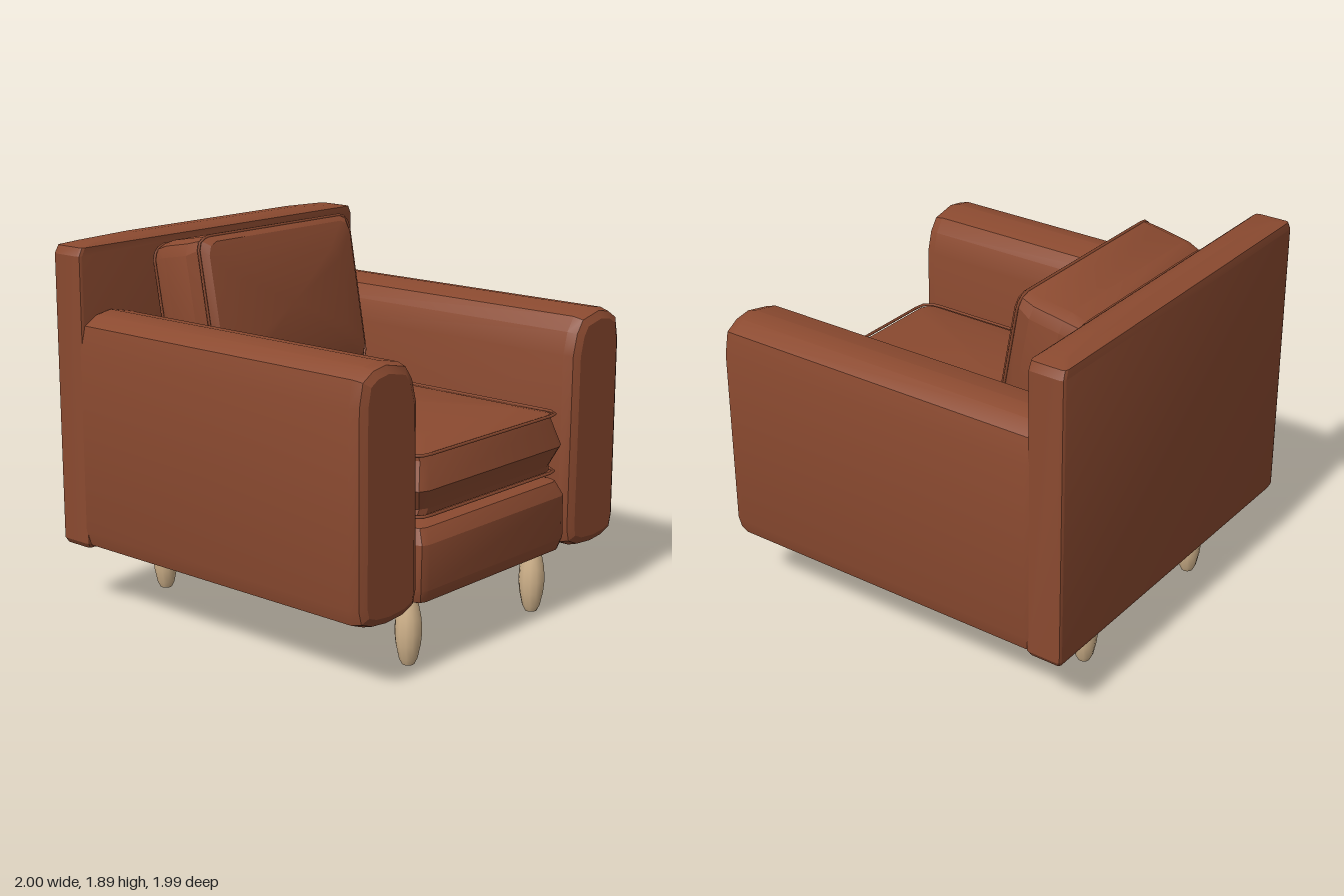
import * as THREE from 'three';
import { toCreasedNormals } from 'three/addons/utils/BufferGeometryUtils.js';

// Points of a rounded rectangle, two facets to each corner
function ring(x0, x1, z0, z1, r) {
  const pts = [];
  for (let q = 0; q < 4; q++) {
    for (let k = 0; k <= 2; k++) {
      const a = (q + k / 2) * Math.PI / 2;
      const cx = q === 0 || q === 3 ? x1 - r : x0 + r;
      const cz = q < 2 ? z1 - r : z0 + r;
      pts.push([cx + Math.cos(a) * r, cz + Math.sin(a) * r]);
    }
  }
  return pts;
}

// Upholstered block from levels [y, halfWidth, zBack, zFront, cornerRadius], bottom to top
function loft(levels) {
  const pos = [], index = [];
  const n = 12, last = levels.length - 1;
  levels.forEach(([y, hx, z0, z1, r]) => {
    ring(-hx, hx, z0, z1, r).forEach(([x, z]) => pos.push(x, y, z));
  });
  const low = n * levels.length, high = low + 1;
  for (const l of [levels[0], levels[last]]) pos.push(0, l[0], (l[2] + l[3]) / 2);
  for (let i = 0; i < n; i++) {
    const j = (i + 1) % n;
    for (let s = 0; s < last; s++) {
      const a = s * n + i, b = s * n + j;
      index.push(a, a + n, b, b, a + n, b + n);
    }
    index.push(low, i, j, high, last * n + j, last * n + i);
  }
  const g = new THREE.BufferGeometry();
  g.setAttribute('position', new THREE.Float32BufferAttribute(pos, 3));
  g.setIndex(index);
  return toCreasedNormals(g, 0.4);
}

// Front outline extruded from zBack to zFront with bevelled ends
function slab(points, zBack, zFront, bevel, size) {
  const shape = new THREE.Shape(points.map(([x, y]) => new THREE.Vector2(x, y)));
  const g = new THREE.ExtrudeGeometry(shape, {
    depth: zFront - zBack - 2 * bevel, bevelEnabled: true, bevelSegments: 2,
    bevelThickness: bevel, bevelSize: size, bevelOffset: -size,
  });
  g.translate(0, 0, zBack + bevel);
  return toCreasedNormals(g, 0.4);
}

// Thin seam cord running round a cushion at height y
function cord(y, hx, z0, z1, r) {
  const path = new THREE.CurvePath();
  const pts = ring(-hx, hx, z0, z1, r).map(([x, z]) => new THREE.Vector3(x, y, z));
  pts.forEach((p, i) => path.add(new THREE.LineCurve3(p, pts[(i + 1) % pts.length])));
  return new THREE.TubeGeometry(path, 96, 0.008, 5, true);
}

export function createModel() {
  const model = new THREE.Group();
  model.name = 'armchair';
  const leather = new THREE.MeshStandardMaterial({ color: 0x8b4a30 });
  leather.name = 'brown leather';
  const wood = new THREE.MeshStandardMaterial({ color: 0xd2b48c });
  wood.name = 'pale wood';

  const add = (name, geometry, material = leather, parent = model) => {
    const mesh = new THREE.Mesh(geometry, material);
    mesh.name = name;
    parent.add(mesh);
    return mesh;
  };

  // Arms, mirrored
  const armProfile = [
    [0.6, 0.35], [0.68, 0.315], [0.8, 0.305], [0.9, 0.315], [0.98, 0.345], [1, 0.42],
    [1, 1.34], [0.975, 1.46], [0.9, 1.505], [0.81, 1.52], [0.67, 1.49],
    [0.62, 1.42], [0.59, 1.31], [0.58, 0.42],
  ];
  for (const [name, s] of [['leftArm', 1], ['rightArm', -1]]) {
    add(name, slab(armProfile.map(([x, y]) => [x * s, y]), -0.87, 0.99, 0.07, 0.05));
  }

  // Back panel: flat behind, with a softly peaked top edge
  add('backPanel', loft([
    [0.325, 0.98, -0.99, -0.82, 0.015],
    [0.35, 0.995, -1, -0.81, 0.02],
    [1.8, 0.995, -1, -0.81, 0.02],
    [1.84, 0.975, -0.995, -0.81, 0.02],
    [1.855, 0.9, -0.95, -0.83, 0.03],
    [1.87, 0.6, -0.92, -0.87, 0.02],
  ]));

  // Base under the seat
  add('seatBase', loft([
    [0.315, 0.5, -0.84, 0.92, 0.04],
    [0.34, 0.55, -0.85, 0.965, 0.04],
    [0.4, 0.57, -0.85, 0.985, 0.05],
    [0.62, 0.565, -0.85, 0.985, 0.05],
    [0.69, 0.54, -0.85, 0.95, 0.05],
    [0.715, 0.42, -0.84, 0.86, 0.05],
  ]));

  // Seat cushion with bulging sides, crowned top and two seam cords
  const seat = new THREE.Group();
  seat.name = 'seatCushion';
  model.add(seat);
  add('seatPad', loft([
    [0.7, 0.38, -0.6, 0.8, 0.06],
    [0.74, 0.53, -0.75, 0.925, 0.06],
    [0.77, 0.52, -0.76, 0.93, 0.06],
    [0.87, 0.572, -0.78, 0.97, 0.07],
    [1.0, 0.525, -0.76, 0.935, 0.06],
    [1.03, 0.53, -0.75, 0.925, 0.06],
    [1.07, 0.39, -0.6, 0.8, 0.06],
  ]), leather, seat);
  add('lowerSeam', cord(0.74, 0.548, -0.76, 0.945, 0.06), leather, seat);
  add('upperSeam', cord(1.03, 0.548, -0.76, 0.945, 0.06), leather, seat);

  // Back cushion, made lying flat then tipped up to lean on the back panel
  const back = new THREE.Group();
  back.name = 'backCushion';
  back.position.set(0, 1.455, -0.54);
  back.rotation.x = Math.PI / 2 - 0.18;
  model.add(back);
  add('backPad', loft([
    [-0.2, 0.45, -0.32, 0.32, 0.06],
    [-0.165, 0.54, -0.385, 0.38, 0.07],
    [-0.08, 0.56, -0.4, 0.405, 0.08],
    [0.08, 0.565, -0.4, 0.405, 0.08],
    [0.16, 0.545, -0.4, 0.375, 0.06],
    [0.195, 0.515, -0.37, 0.345, 0.06],
    [0.225, 0.38, -0.24, 0.23, 0.06],
  ]), leather, back);
  add('frontSeam', cord(0.16, 0.55, -0.4, 0.38, 0.06), leather, back);
  add('rearSeam', cord(-0.165, 0.55, -0.385, 0.385, 0.07), leather, back);

  // Barrel-shaped legs
  const legProfile = [
    [0, 0], [0.03, 0], [0.045, 0.03], [0.06, 0.1], [0.066, 0.16],
    [0.062, 0.23], [0.048, 0.3], [0.04, 0.335], [0, 0.335],
  ].map(([r, y]) => new THREE.Vector2(r, y));
  const legGeometry = toCreasedNormals(new THREE.LatheGeometry(legProfile, 12), 0.6);
  for (const [end, z] of [['front', 0.84], ['back', -0.8]]) {
    for (const [side, x] of [['Left', 0.485], ['Right', -0.485]]) {
      add(`${end}${side}Leg`, legGeometry, wood).position.set(x, 0, z);
    }
  }
  return model;
}
